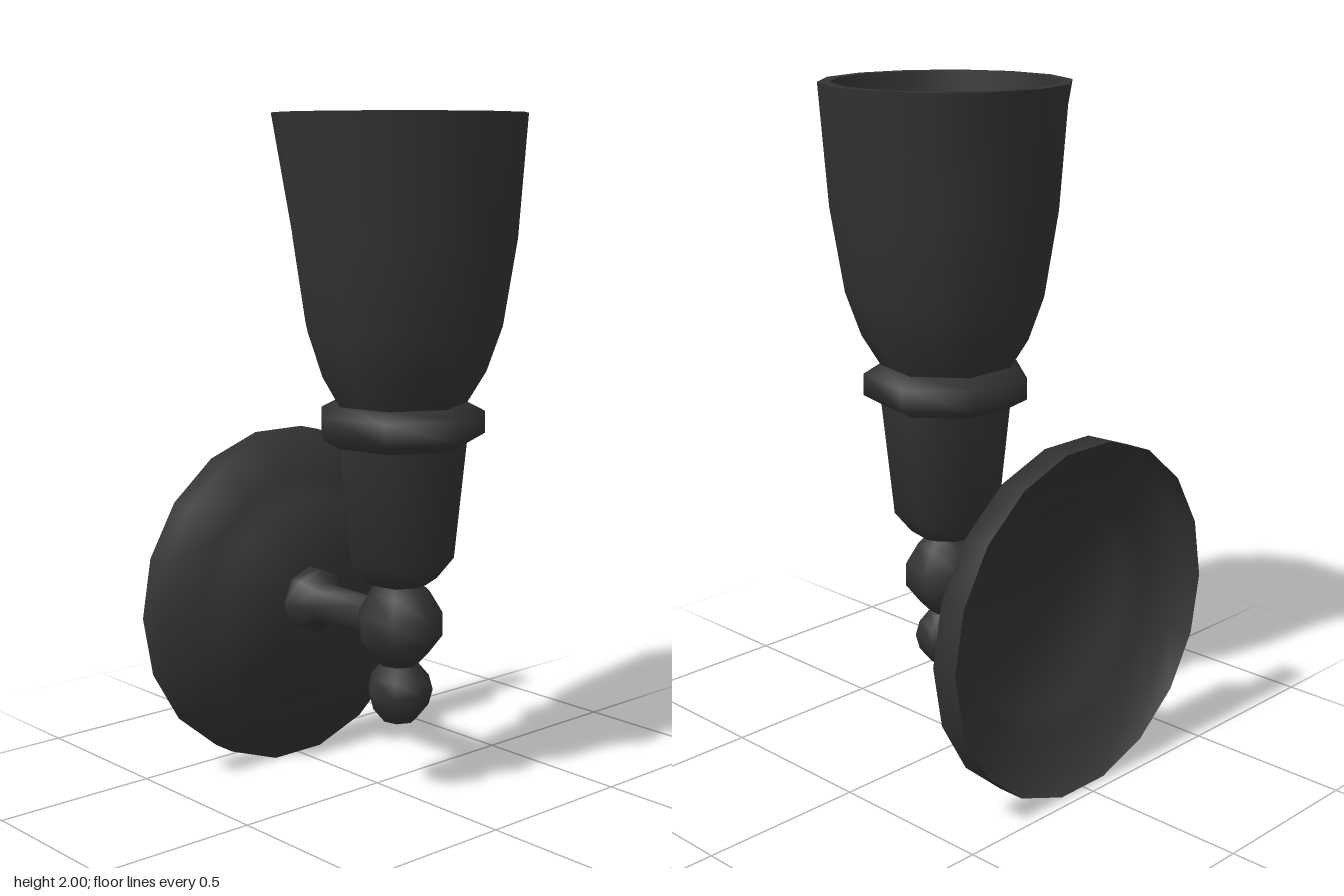
import * as THREE from 'three';
import { toCreasedNormals } from 'three/addons/utils/BufferGeometryUtils.js';

const material = new THREE.MeshStandardMaterial({ color: 0x333333, side: THREE.DoubleSide });
const AXIS_Z = 0.097; // vertical axis of the lamp body
const ARM_Y = 0.52;   // horizontal axis of arm and wall plate

// Turned surface; the profile is [radius, height], running so the outside faces out
function turned(profile, sides, phase = 0) {
  const points = profile.map(([r, h]) => new THREE.Vector2(r, h));
  return new THREE.LatheGeometry(points, sides, phase);
}

function addPart(group, name, geometry, horizontal = false) {
  const geo = toCreasedNormals(geometry, 1.9);
  if (horizontal) geo.rotateX(Math.PI / 2);
  const mesh = new THREE.Mesh(geo, material);
  mesh.name = name;
  mesh.position.set(0, horizontal ? ARM_Y : 0, horizontal ? 0 : AXIS_Z);
  group.add(mesh);
}

// Shade surface: seven-sided below, opening into a fourteen-sided rim
function shadeSurface(profile) {
  const geo = turned(profile, 14);
  const pos = geo.attributes.position;
  const flat = Math.cos(Math.PI / 7);
  for (let i = 0; i < pos.count; i++) {
    const column = Math.floor(i / profile.length);
    if (column % 2 === 1 && pos.getY(i) < 1.9) {
      pos.setX(i, pos.getX(i) * flat);
      pos.setZ(i, pos.getZ(i) * flat);
    }
  }
  return geo;
}

export function createModel() {
  const group = new THREE.Group();
  group.name = 'wallSconce';

  // Shade, in separate surfaces so the rim and floor keep sharp edges
  const shade = new THREE.Group();
  shade.name = 'shade';
  group.add(shade);
  const surfaces = {
    shadeOutside: [[0.195, 1.18], [0.25, 1.27], [0.296, 1.4], [0.336, 1.65], [0.362, 2]],
    shadeRim: [[0.362, 2], [0.327, 2]],
    shadeInside: [[0.327, 2], [0.3, 1.65], [0.258, 1.4], [0.21, 1.27], [0.18, 1.2]],
    shadeFloor: [[0.18, 1.2], [0, 1.2]],
  };
  for (const [name, profile] of Object.entries(surfaces)) {
    addPart(shade, name, shadeSurface(profile));
  }

  // Upright body below the shade
  addPart(group, 'collar', turned([
    [0.193, 1.06], [0.247, 1.09], [0.247, 1.155], [0.19, 1.185],
  ], 7));
  addPart(group, 'cup', turned([
    [0.06, 0.64], [0.11, 0.66], [0.16, 0.72], [0.196, 1.07],
  ], 7));
  addPart(group, 'upperBall', turned([
    [0.055, 0.4], [0.085, 0.43], [0.128, 0.485], [0.128, 0.555], [0.09, 0.62], [0.06, 0.65],
  ], 7));
  addPart(group, 'finial', turned([
    [0, 0.23], [0.05, 0.23], [0.088, 0.275], [0.1, 0.32], [0.088, 0.365], [0.055, 0.405],
  ], 7));

  // Arm with a flared foot against the plate
  addPart(group, 'arm', turned([
    [0.102, -0.313], [0.102, -0.27], [0.064, -0.23], [0.063, 0.0],
  ], 8), true);

  // Round wall plate: a thin pressed shell, open at the back
  addPart(group, 'wallPlate', turned([
    [0.525, -0.46], [0.525, -0.377], [0.37, -0.377], [0.325, -0.313], [0, -0.313],
  ], 18, Math.PI / 2), true);

  return group;
}
